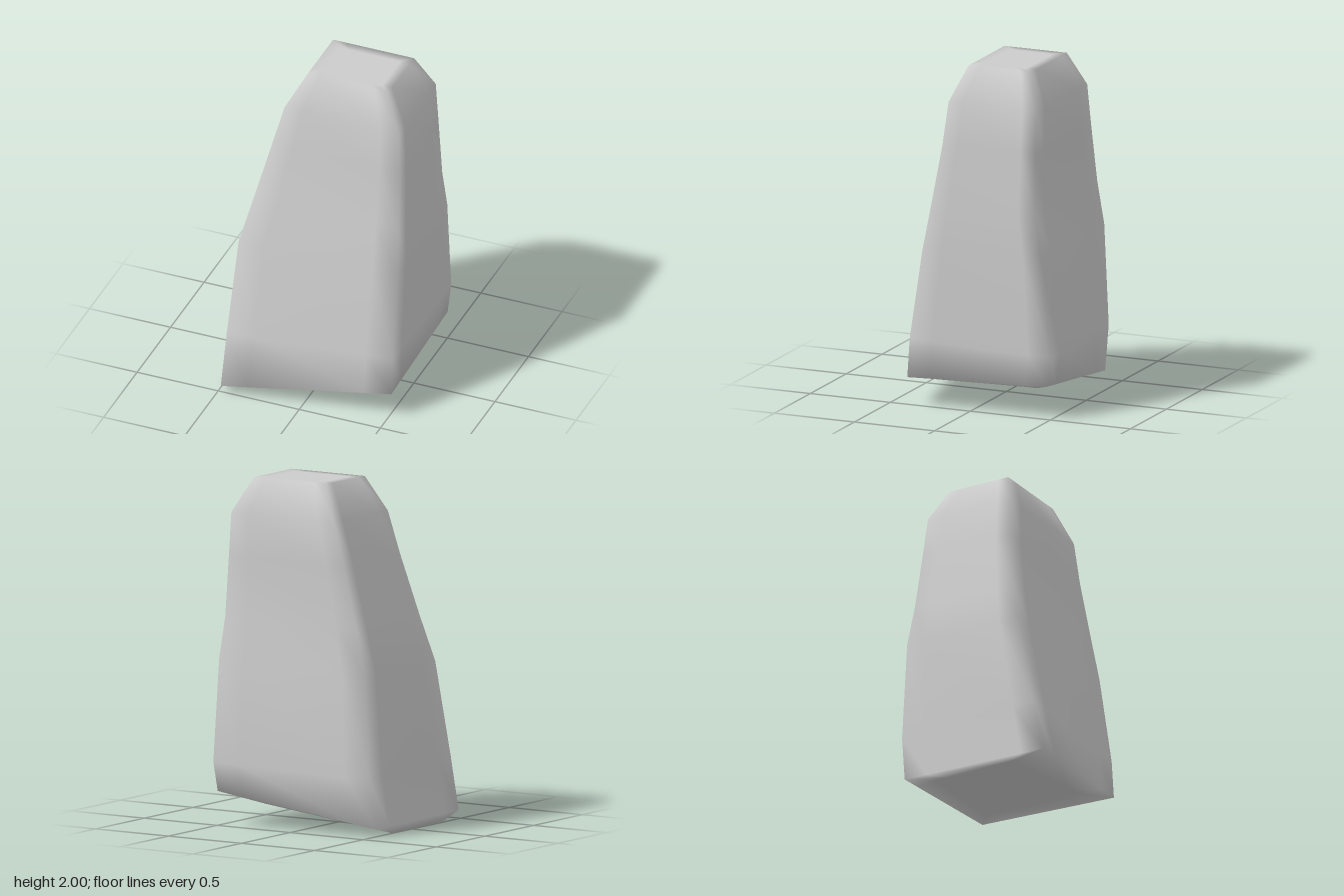
import * as THREE from 'three';

// Corner loops from top to bottom: front -x, front +x, back +x, back -x
const LOOPS = [
  [[-0.07, 2, 0.01], [0.31, 2, 0.01], [0.31, 2, -0.26], [-0.07, 2, -0.26]],
  [[-0.13, 2, 0.07], [0.37, 2, 0.07], [0.37, 2, -0.32], [-0.13, 2, -0.32]],
  [[-0.235, 1.8, 0.15], [0.47, 1.8, 0.15], [0.47, 1.8, -0.4], [-0.235, 1.8, -0.4]],
  [[-0.3, 1.55, 0.18], [0.487, 1.55, 0.18], [0.487, 1.55, -0.4], [-0.3, 1.55, -0.395]],
  [[-0.385, 1.2, 0.25], [0.508, 1.2, 0.24], [0.508, 1.2, -0.405], [-0.385, 1.2, -0.395]],
  [[-0.45, 0.93, 0.315], [0.52, 0.93, 0.29], [0.52, 0.96, -0.45], [-0.45, 0.93, -0.41]],
  [[-0.472, 0.37, 0.44], [0.52, 0.4, 0.37], [0.52, 0.37, -0.51], [-0.49, 0.33, -0.42]],
  [[-0.48, 0.05, 0.51], [0.52, 0.17, 0.385], [0.51, 0.2, -0.48], [-0.52, 0.05, -0.385]],
  [[-0.5, 0.01, 0.32], [0.29, 0.125, 0.3], [0.29, 0.125, -0.32], [-0.5, 0.005, -0.2]],
];

// Each corner gets a neighbour on both adjoining edges, so shading blends only near the corner
function loopPoints(corners) {
  const c = corners.map((p) => new THREE.Vector3(...p));
  return c.flatMap((p, i) => {
    const prev = c[(i + 3) % 4], next = c[(i + 1) % 4];
    return [p.clone().lerp(prev, 0.16), p, p.clone().lerp(next, 0.16)];
  });
}

function stoneGeometry() {
  const rings = LOOPS.map(loopPoints);
  const n = rings[0].length;
  const points = rings.flat();
  const index = [];
  for (let r = 0; r < rings.length - 1; r++) {
    for (let i = 0; i < n; i++) {
      const j = (i + 1) % n;
      const a = r * n + i, b = r * n + j, c = a + n, d = b + n;
      index.push(a, c, d, a, d, b);
    }
  }
  // Close the crown and the tilted underside
  const middle = (ring) => ring
    .reduce((sum, p) => sum.add(p), new THREE.Vector3())
    .divideScalar(n);
  const top = points.push(middle(rings[0])) - 1;
  const bottom = points.push(middle(rings.at(-1))) - 1;
  const last = (rings.length - 1) * n;
  for (let i = 0; i < n; i++) {
    const j = (i + 1) % n;
    index.push(top, i, j, bottom, last + j, last + i);
  }
  const geometry = new THREE.BufferGeometry().setFromPoints(points);
  geometry.setIndex(index);
  geometry.computeVertexNormals();
  return geometry;
}

export function createModel() {
  const group = new THREE.Group();
  group.name = 'standingStone';
  const material = new THREE.MeshStandardMaterial({ color: 0xcccccc });
  const stone = new THREE.Mesh(stoneGeometry(), material);
  stone.name = 'stone';
  group.add(stone);
  return group;
}
